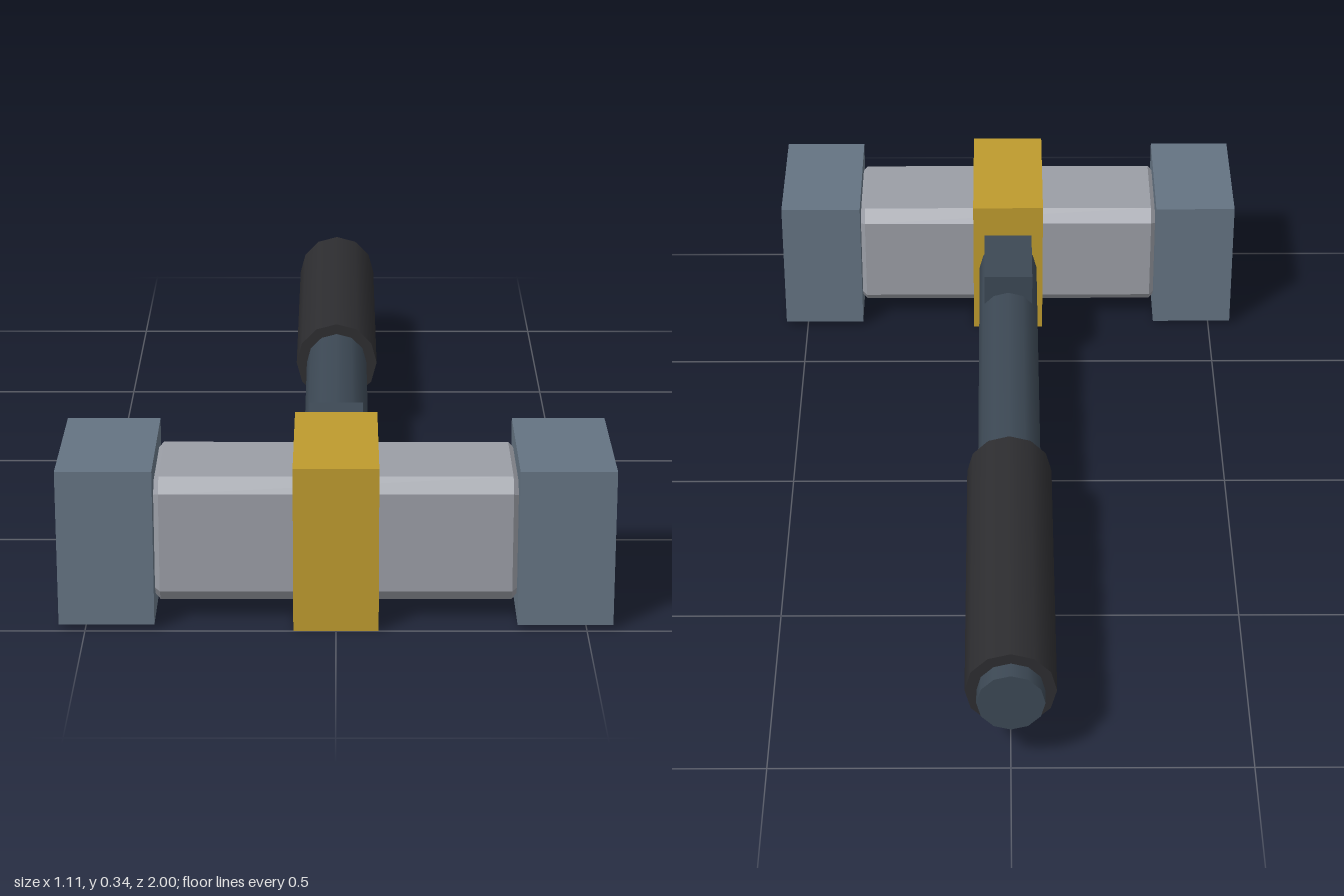
import * as THREE from 'three';

const CY = 0.172, CZ = 0.828; // centre line of the head

function material(color) {
  const m = new THREE.MeshStandardMaterial();
  m.color.set(color);
  return m;
}

export function createModel() {
  const group = new THREE.Group();
  const steel = material(0x9a9da5), slate = material(0x647382), gold = material(0xbd9a2e);
  const shaftMat = material(0x3c4854), gripMat = material(0x2d2d30);

  const add = (name, geometry, mat, x, y, z) => {
    const mesh = new THREE.Mesh(geometry, mat);
    mesh.name = name;
    mesh.position.set(x, y, z);
    group.add(mesh);
    return mesh;
  };

  // Head core: chamfered square bar with bevelled ends, running along x
  const h = 0.131, c = 0.028, halfLength = 0.352;
  const i = h - c;
  const outline = new THREE.Shape([
    [h, -i], [h, i], [i, h], [-i, h], [-h, i], [-h, -i], [-i, -h], [i, -h],
  ].map(([x, y]) => new THREE.Vector2(x, y)));
  const core = new THREE.ExtrudeGeometry(outline, {
    depth: halfLength * 2, bevelEnabled: true, bevelThickness: c,
    bevelSize: c, bevelOffset: -c, bevelSegments: 1,
  });
  core.translate(0, 0, -halfLength).rotateY(Math.PI / 2);
  add('headCore', core, steel, 0, CY, CZ);

  // Central band and the two striking blocks
  add('centreBand', new THREE.BoxGeometry(0.17, 0.343, 0.343), gold, 0, CY, CZ);
  for (const [name, side] of [['leftStrikingBlock', 1], ['rightStrikingBlock', -1]]) {
    add(name, new THREE.BoxGeometry(0.191, 0.324, 0.324), slate, side * 0.4575, CY, CZ);
  }

  // Handle parts: cylinders along z between two depths
  const rod = (name, radius, z0, z1, mat) => {
    const geometry = new THREE.CylinderGeometry(radius, radius, z1 - z0, 12);
    geometry.rotateX(Math.PI / 2);
    add(name, geometry, mat, 0, 0.174, (z0 + z1) / 2);
  };
  rod('shaft', 0.07, -1, 0.7, shaftMat);
  rod('grip', 0.094, -0.96, -0.2, gripMat);

  // Small raised block on top of the shaft
  add('shaftBlock', new THREE.BoxGeometry(0.114, 0.078, 0.19), shaftMat, 0, 0.249, 0.525);

  return group;
}
